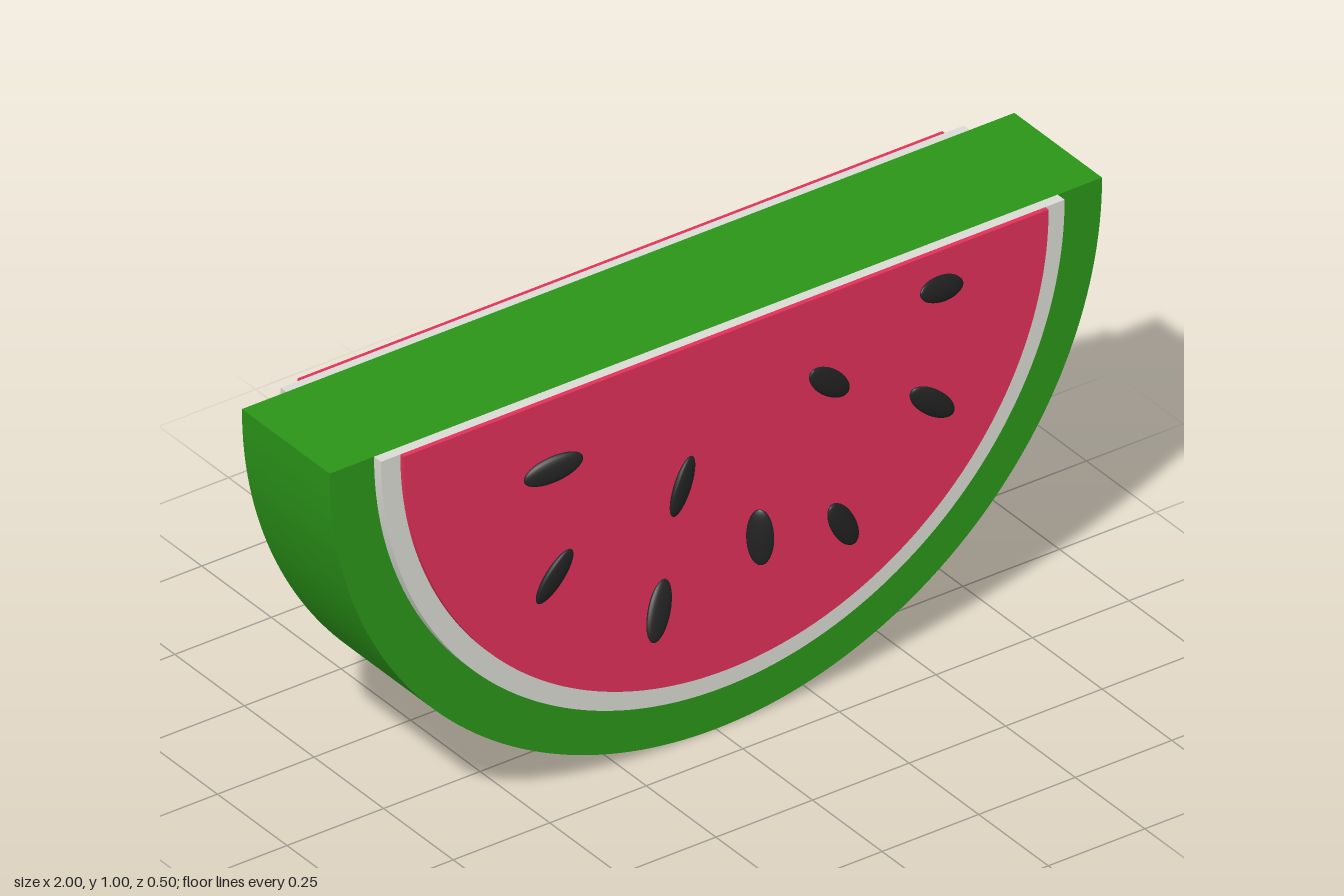
import * as THREE from 'three';
import { toCreasedNormals } from 'three/addons/utils/BufferGeometryUtils.js';

const material = (color) => new THREE.MeshStandardMaterial({ color });
const rindMat = material(0x2a9418);
const pithMat = material(0xd8dad2);
const fleshMat = material(0xe03058);
const seedMat = material(0x222222);

// Half disc hanging from y = 1, filling z0..z1
function halfDisc(name, radius, z0, z1, mat) {
  const shape = new THREE.Shape();
  shape.absarc(0, 1, radius, Math.PI, 2 * Math.PI, false);
  shape.closePath();
  const geo = new THREE.ExtrudeGeometry(shape, {
    depth: z1 - z0, bevelEnabled: false, curveSegments: 56,
  });
  geo.translate(0, 0, z0);
  const mesh = new THREE.Mesh(toCreasedNormals(geo, 0.5), mat);
  mesh.name = name;
  return mesh;
}

// Seeds on the front: x, y, z, roll in degrees, yaw, pitch
const SEEDS = [
  [-0.476, 0.858, 0.230, 15, -0.27, -0.1],
  [-0.144, 0.695, 0.233, 65, 0.3, 0.04],
  [-0.46, 0.577, 0.212, 55, 0.1, 0.15],
  [-0.193, 0.396, 0.217, 62, 0.1, -0.28],
  [0.07, 0.481, 0.215, 90, -0.8, 0],
  [0.297, 0.422, 0.198, -60, 0.1, 0],
  [0.513, 0.655, 0.218, -42, -0.15, 0.12],
  [0.262, 0.786, 0.197, -40, 0.1, 0],
  [0.551, 0.914, 0.200, -14, 0.25, -0.15],
];
// Two seeds sit elsewhere on the back
const BACK_MOVED = { 4: [0.155, 0.41], 5: [0.305, 0.56] };
const BACK_SHIFT = -0.43;

export function createModel() {
  const model = new THREE.Group();
  model.name = 'watermelonSlice';

  // Rind, with thinner pith and flesh layers stepping out on both faces
  model.add(
    halfDisc('rind', 1, -0.162, 0.153, rindMat),
    halfDisc('pithFront', 0.885, 0.153, 0.178, pithMat),
    halfDisc('pithBack', 0.885, -0.183, -0.162, pithMat),
    halfDisc('fleshFront', 0.835, 0.178, 0.19, fleshMat),
    halfDisc('fleshBack', 0.835, -0.192, -0.183, fleshMat),
  );

  // Flattened seeds, the back set being a shifted copy of the front set
  const seedGeo = new THREE.SphereGeometry(1, 24, 16);
  seedGeo.rotateZ(Math.PI / 2);
  seedGeo.scale(0.069, 0.03, 0.012);
  const addSeed = (name, x, y, z, roll, yaw, pitch) => {
    const seed = new THREE.Mesh(seedGeo, seedMat);
    seed.name = name;
    seed.position.set(x, y, z);
    seed.rotation.set(pitch, yaw, THREE.MathUtils.degToRad(roll), 'YXZ');
    model.add(seed);
  };
  SEEDS.forEach(([x, y, z, ...turn], i) => {
    addSeed(`seedFront${i + 1}`, x, y, z, ...turn);
    const [bx, by] = BACK_MOVED[i] ?? [x, y];
    addSeed(`seedBack${i + 1}`, bx, by, z + BACK_SHIFT, ...turn);
  });

  return model;
}
